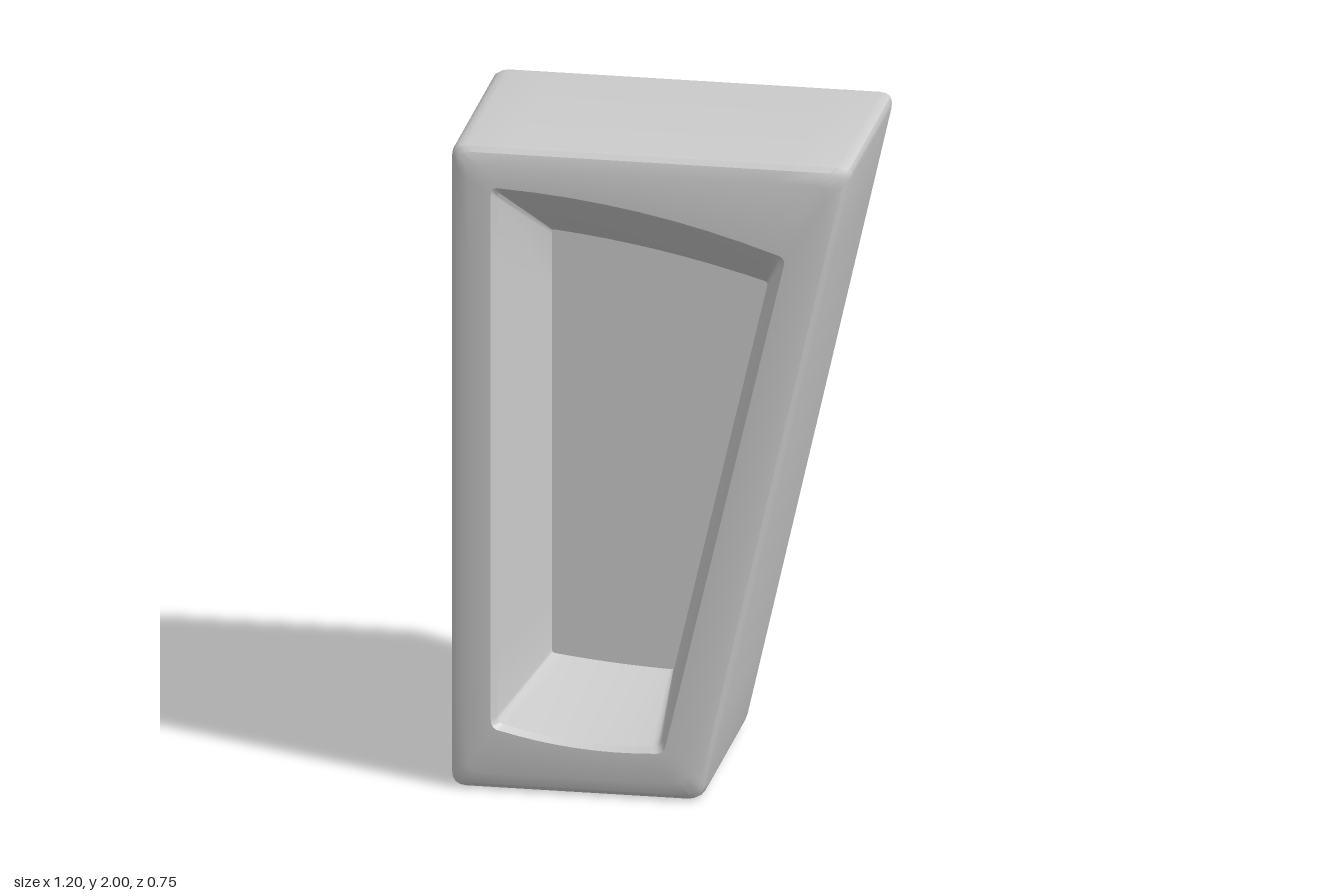
import * as THREE from 'three';
import { toCreasedNormals } from 'three/addons/utils/BufferGeometryUtils.js';

const V = (x, y) => new THREE.Vector2(x, y);

// Corners run counter-clockwise: bottom left, bottom right, top right, top left
const OUTER = [V(-0.6, 0), V(0.155, 0), V(0.605, 2), V(-0.6, 2)];
const OPENING = [V(-0.46, 0.205), V(0.03, 0.16), V(0.39, 1.705), V(-0.46, 1.865)];
const FLOOR = [V(-0.385, 0.265), V(-0.02, 0.235), V(0.262, 1.46), V(-0.385, 1.585)];

// Move every side of a polygon inwards by d
function inset(corners, d) {
  const n = corners.length;
  return corners.map((p, i) => {
    const a = p.clone().sub(corners[(i + n - 1) % n]).normalize();
    const b = corners[(i + 1) % n].clone().sub(p).normalize();
    const k = d / a.cross(b);
    return p.clone().addScaledVector(b, k).addScaledVector(a, -k);
  });
}

// Rounded outline at depth z; bow swells each side outwards
function ring(corners, z, radius, bow = [0, 0, 0, 0]) {
  const points = [], n = corners.length, CORNER = 4, SIDE = 8;
  corners.forEach((p, i) => {
    const next = corners[(i + 1) % n];
    const before = corners[(i + n - 1) % n].clone().sub(p).normalize();
    const dir = next.clone().sub(p).normalize();
    const curve = new THREE.QuadraticBezierCurve(
      p.clone().addScaledVector(before, radius), p, p.clone().addScaledVector(dir, radius));
    for (const q of curve.getPoints(CORNER)) points.push(new THREE.Vector3(q.x, q.y, z));
    const start = p.clone().addScaledVector(dir, radius);
    const end = next.clone().addScaledVector(dir, -radius);
    for (let s = 1; s < SIDE; s++) {
      const t = s / SIDE;
      const q = start.clone().lerp(end, t);
      const swell = 4 * t * (1 - t) * bow[i];
      points.push(new THREE.Vector3(q.x + dir.y * swell, q.y - dir.x * swell, z));
    }
  });
  return points;
}

// Skin a row of rings, closing the first and/or last with a flat cap
function skin(rings, capStart, capEnd) {
  const pos = [];
  const tri = (...pts) => pts.forEach((p) => pos.push(p.x, p.y, p.z));
  const n = rings[0].length;
  const centre = (r) => r.reduce((s, p) => s.add(p), new THREE.Vector3()).divideScalar(n);
  const first = rings[0], last = rings[rings.length - 1];
  const c0 = centre(first), c1 = centre(last);
  for (let i = 0; i < n; i++) {
    const j = (i + 1) % n;
    if (capStart) tri(c0, first[j], first[i]);
    for (let k = 0; k + 1 < rings.length; k++) {
      const a = rings[k], b = rings[k + 1];
      tri(a[i], a[j], b[j]);
      tri(a[i], b[j], b[i]);
    }
    if (capEnd) tri(last[i], last[j], c1);
  }
  const geometry = new THREE.BufferGeometry();
  geometry.setAttribute('position', new THREE.Float32BufferAttribute(pos, 3));
  return toCreasedNormals(geometry, 0.5);
}

export function createModel() {
  const group = new THREE.Group();
  const material = new THREE.MeshStandardMaterial({ color: 0xcccccc });
  const add = (name, geometry) => {
    const mesh = new THREE.Mesh(geometry, material);
    mesh.name = name;
    group.add(mesh);
  };

  const bow = [0.018, 0, 0.03, 0];
  const rim = ring(inset(OPENING, -0.015), 0.375, 0.03, bow);

  // Tapered casing with softened edges, ending at the rim of the opening
  const bevel = [[0.055, 0.375], [0.018, 0.363], [0.004, 0.348], [0, 0.325]];
  const outline = ([d, z], side) => ring(inset(OUTER, d), z * side, 0.045);
  add('casing', skin([
    ...bevel.map((b) => outline(b, -1)),
    ...[...bevel].reverse().map((b) => outline(b, 1)),
    rim,
  ], true, false));

  // Recess narrowing towards its floor
  add('recess', skin([
    rim,
    ring(OPENING, 0.357, 0.025, bow),
    ring(FLOOR, -0.13, 0.012, [0.004, 0, 0.015, 0]),
  ], false, true));

  return group;
}
